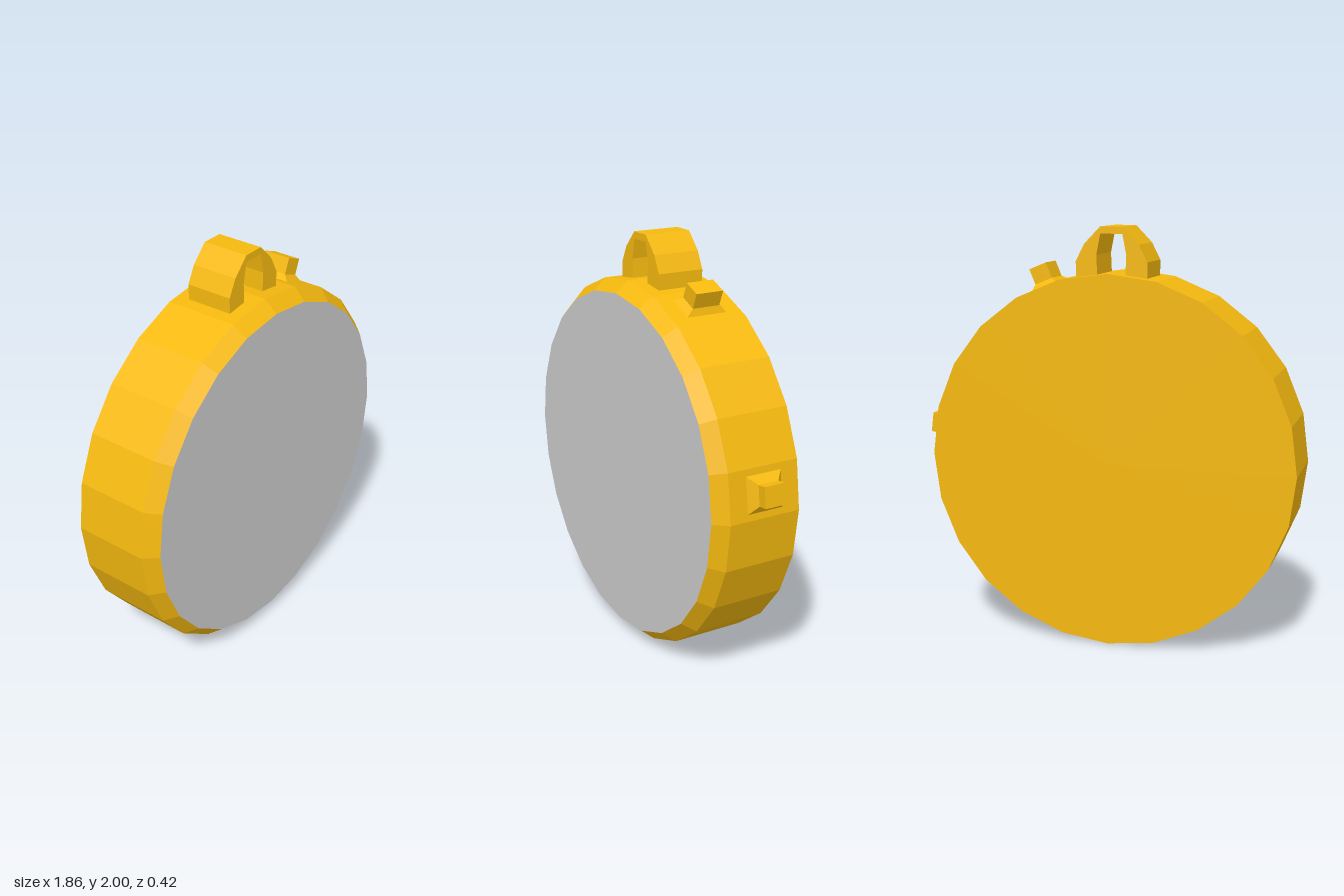
import * as THREE from 'three';

const CX = -0.037, CY = 0.897; // centre of the round case
const RADIUS = 0.892, GLASS_RADIUS = 0.837, SIDES = 24;
const MID_Z = -0.032; // middle of the rim's depth
const APOTHEM = RADIUS * Math.cos(Math.PI / SIDES);

const gold = new THREE.MeshStandardMaterial({ color: 0xf5b90f, flatShading: true });
const grey = new THREE.MeshStandardMaterial({ color: 0xcccccc, flatShading: true });

function addMesh(parent, name, geometry, material) {
  const mesh = new THREE.Mesh(geometry, material);
  mesh.name = name;
  parent.add(mesh);
  return mesh;
}

// Square button with a flared foot, standing on the rim at an angle from +x
function addButton(parent, name, degrees, halfWidth, halfDepth, neck, flare, height) {
  const profile = [[1, -0.02], [1, 0], [neck, flare], [neck, height], [0, height]]
    .map(([r, y]) => new THREE.Vector2(r * Math.SQRT2, y));
  const geometry = new THREE.LatheGeometry(profile, 4, Math.PI / 4);
  geometry.scale(halfWidth, 1, halfDepth);
  const angle = THREE.MathUtils.degToRad(degrees);
  const button = addMesh(parent, name, geometry, gold);
  button.position.set(CX + APOTHEM * Math.cos(angle), CY + APOTHEM * Math.sin(angle), MID_Z);
  button.rotation.z = angle - Math.PI / 2;
}

export function createModel() {
  const model = new THREE.Group();
  model.name = 'pocketWatch';

  // Case: flat back, straight rim, bevelled front edge
  const profile = [[0, -0.21], [RADIUS, -0.21], [RADIUS, 0.147], [GLASS_RADIUS, 0.21]]
    .map(([r, y]) => new THREE.Vector2(r, y));
  const caseGeometry = new THREE.LatheGeometry(profile, SIDES).rotateX(Math.PI / 2);
  addMesh(model, 'case', caseGeometry, gold).position.set(CX, CY, 0);

  // Flat front disc
  const face = addMesh(model, 'face', new THREE.CircleGeometry(GLASS_RADIUS, SIDES), grey);
  face.position.set(CX, CY, 0.21);

  // Hanging loop: right half of the arch, mirrored for the left
  const outer = [[0.172, 1.74], [0.172, 1.84], [0.131, 1.92], [0.053, 2.0]];
  const inner = [[0.053, 1.967], [0.072, 1.87], [0.066, 1.74]];
  const mirror = (points) => points.map(([x, y]) => [-x, y]).reverse();
  const outline = [...outer, ...mirror(outer), ...mirror(inner), ...inner]
    .map(([x, y]) => new THREE.Vector2(x, y));
  // The inner edge runs back from the left foot to the right foot
  const innerLeft = [[-0.066, 1.74], [-0.072, 1.87], [-0.053, 1.967]];
  outline.splice(8, 6, ...[...innerLeft, ...inner].map(([x, y]) => new THREE.Vector2(x, y)));
  const loopGeometry = new THREE.ExtrudeGeometry(new THREE.Shape(outline), {
    depth: 0.23, bevelEnabled: false,
  });
  addMesh(model, 'hangingLoop', loopGeometry, gold).position.set(CX, 0, MID_Z - 0.115);

  // Two buttons on the rim
  addButton(model, 'upperButton', 67.5, 0.066, 0.101, 0.68, 0.028, 0.105);
  addButton(model, 'sideButton', 7.5, 0.085, 0.09, 0.57, 0.035, 0.081);

  return model;
}
